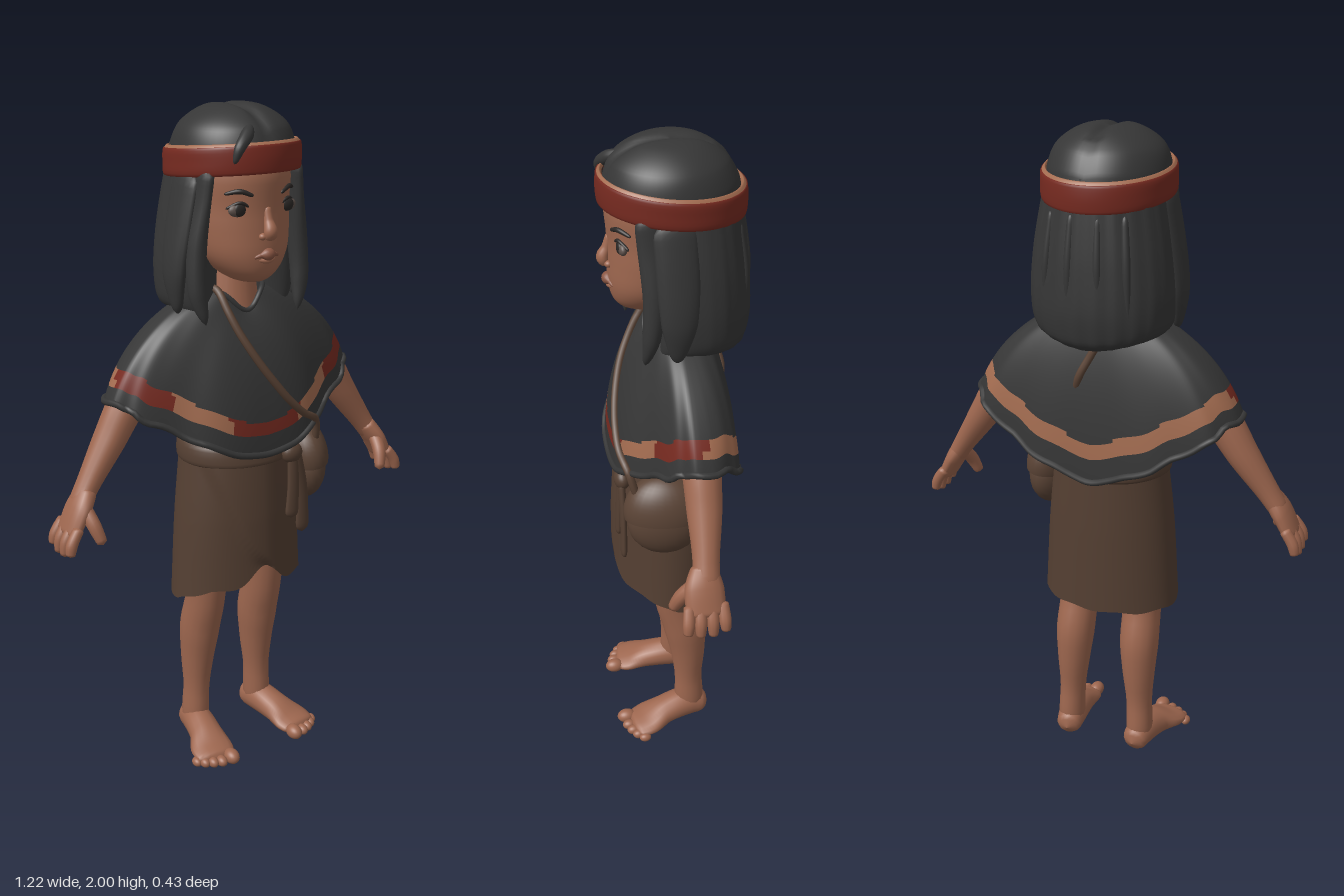
import * as THREE from 'three';

const mat = (name, color, double) => {
  const m = new THREE.MeshStandardMaterial({ color });
  m.name = name;
  if (double) m.side = THREE.DoubleSide;
  return m;
};
const V = (x, y, z) => new THREE.Vector3(x, y, z);
const spow = (v, p) => Math.sign(v) * Math.abs(v) ** p;

export function createModel() {
  const root = new THREE.Group();
  const skin = mat('skin', 0x9e674f), lipTone = mat('lip', 0x8a5643);
  const hairMat = mat('hair', 0x363636, true), cloth = mat('dark cloth', 0x363636, true);
  const red = mat('red weave', 0x762a20, true), tan = mat('tan weave', 0xa36c50, true);
  const brown = mat('brown skirt', 0x543f32, true), leather = mat('leather', 0x5a4335, true);
  const eyeWhite = mat('eye', 0x5f524c), dark = mat('dark eye', 0x2b2725);

  const add = (name, geo, material, pos) => {
    const m = new THREE.Mesh(geo, material);
    m.name = name;
    if (pos) m.position.set(...pos);
    root.add(m);
    return m;
  };

  // Closed grid surface: fn(angle, s) gives a point, pick(angle, s) a material index
  const grid = (fn, nu, nv, pick = () => 0) => {
    const pos = [], buckets = [];
    for (let j = 0; j <= nv; j++)
      for (let i = 0; i < nu; i++) pos.push(...fn(i / nu * Math.PI * 2, j / nv).toArray());
    for (let j = 0; j < nv; j++)
      for (let i = 0; i < nu; i++) {
        const k = (i + 1) % nu, a = j * nu + i, b = j * nu + k, c = b + nu, d = a + nu;
        const m = pick((i + 0.5) / nu * Math.PI * 2, (j + 0.5) / nv);
        (buckets[m] ??= []).push(a, b, c, a, c, d);
      }
    const g = new THREE.BufferGeometry();
    g.setAttribute('position', new THREE.Float32BufferAttribute(pos, 3));
    g.setIndex(buckets.flat());
    let start = 0;
    buckets.forEach((b, m) => { g.addGroup(start, b.length, m); start += b.length; });
    if (buckets.length === 1) g.clearGroups();
    g.computeVertexNormals();
    return g;
  };

  // Stacked rings from top to bottom: rows of [y, half width, front z, back z]
  const loft = (rows, warp, nu = 48, nv = 32) => {
    const c1 = new THREE.CatmullRomCurve3(rows.map(r => V(r[0], r[1], 0)));
    const c2 = new THREE.CatmullRomCurve3(rows.map(r => V(r[2], r[3], 0)));
    return grid((a, s) => {
      const p = c1.getPoint(s), q = c2.getPoint(s);
      const o = V(Math.max(0, p.y) * Math.cos(a), p.x, (q.x + q.y) / 2 + (q.x - q.y) / 2 * Math.sin(a));
      if (warp) warp(o, a, s);
      return o;
    }, nu, nv);
  };

  // Tapered limb with rounded ends: points of [x, y, z, ra, rb], rb lies along ref
  const limb = (pts, ref = V(0, 0, 1), nu = 16, nv = 28) => {
    const path = new THREE.CatmullRomCurve3(pts.map(p => V(p[0], p[1], p[2])));
    const rad = new THREE.CatmullRomCurve3(pts.map(p => V(p[3], p[4] ?? p[3], 0)));
    return grid((a, s) => {
      const t = path.getTangent(s), r = rad.getPoint(s);
      const B = ref.clone().addScaledVector(t, -ref.dot(t)).normalize();
      const A = B.clone().cross(t);
      const e = Math.sqrt(Math.max(0, 1 - Math.max(0, (Math.abs(2 * s - 1) - 0.8) / 0.2) ** 2));
      return path.getPoint(s).addScaledVector(A, e * r.x * Math.cos(a)).addScaledVector(B, e * r.y * Math.sin(a));
    }, nu, nv);
  };
  const ball = (name, material, pos, scale) =>
    add(name, new THREE.SphereGeometry(1, 24, 16).scale(...scale), material, pos);
  const cord = (name, pts, r, material, closed) =>
    add(name, new THREE.TubeGeometry(new THREE.CatmullRomCurve3(pts, closed), 120, r, 8, closed), material);
  const UP = V(0, 1, 0);

  // Head and neck
  add('head', loft([[1.96, 0, 0.02, 0.02], [1.92, 0.12, 0.14, -0.13], [1.82, 0.15, 0.19, -0.16],
    [1.74, 0.15, 0.184, -0.16], [1.67, 0.147, 0.184, -0.14], [1.6, 0.127, 0.184, -0.08],
    [1.55, 0.088, 0.173, -0.03], [1.522, 0.045, 0.145, 0.02], [1.512, 0, 0.08, 0.08]]), skin);
  add('neck', new THREE.CylinderGeometry(0.06, 0.085, 0.18, 24), skin, [0, 1.5, 0]);
  add('nose', limb([[0, 1.74, 0.173, 0.012], [0, 1.7, 0.184, 0.014], [0, 1.67, 0.196, 0.02, 0.018], [0, 1.648, 0.186, 0.016, 0.012]]), skin);
  add('upperLip', limb([[-0.042, 1.597, 0.172, 0.004], [-0.02, 1.605, 0.182, 0.007], [0.02, 1.605, 0.182, 0.007], [0.042, 1.597, 0.172, 0.004]]), lipTone);
  add('lowerLip', limb([[-0.03, 1.591, 0.173, 0.005], [0, 1.588, 0.182, 0.008], [0.03, 1.591, 0.173, 0.005]]), skin);

  for (const s of [1, -1]) {
    const side = s > 0 ? 'left' : 'right';
    const mir = pts => pts.map(([x, ...r]) => [x * s, ...r]);
    // Face details
    ball(side + 'Nostril', skin, [s * 0.018, 1.657, 0.183], [0.012, 0.01, 0.012]);
    ball(side + 'Eye', eyeWhite, [s * 0.08, 1.732, 0.155], [0.032, 0.019, 0.014]);
    ball(side + 'Iris', dark, [s * 0.08, 1.733, 0.162], [0.02, 0.018, 0.009]);
    add(side + 'EyeLid', limb(mir([[0.048, 1.737, 0.168, 0.004], [0.08, 1.752, 0.164, 0.005], [0.113, 1.736, 0.142, 0.004]])), dark);
    add(side + 'Brow', limb(mir([[0.045, 1.77, 0.178, 0.005], [0.08, 1.783, 0.164, 0.007], [0.115, 1.775, 0.136, 0.004]])), dark);

    // Front locks of hair, emerging under the headband
    add(side + 'FrontLock', limb(mir([[0.145, 1.85, 0.095, 0.02, 0.04], [0.155, 1.76, 0.09, 0.02, 0.038],
      [0.172, 1.62, 0.086, 0.028, 0.032], [0.175, 1.5, 0.096, 0.027, 0.025], [0.158, 1.41, 0.112, 0.009]])), hairMat);
    add(side + 'SideLock', limb(mir([[0.16, 1.84, 0.03, 0.02, 0.06], [0.19, 1.68, 0.025, 0.024, 0.06],
      [0.207, 1.55, 0.025, 0.024, 0.05], [0.2, 1.43, 0.03, 0.012, 0.015]])), hairMat);

    // Arm and hand
    add(side + 'Arm', limb(mir([[0.22, 1.33, -0.01, 0.06], [0.35, 1.19, -0.005, 0.056, 0.056], [0.42, 1.085, 0, 0.047, 0.05],
      [0.5, 0.97, 0.012, 0.033, 0.038], [0.54, 0.91, 0.02, 0.028, 0.04]])), skin);
    add(side + 'Palm', limb(mir([[0.5, 0.97, 0.018, 0.028, 0.034], [0.54, 0.91, 0.025, 0.028, 0.056], [0.577, 0.84, 0.025, 0.021, 0.056]])), skin);
    for (let i = 0; i < 4; i++) {
      const z = -0.022 + i * 0.031, tip = [0.8, 0.786, 0.788, 0.8][i];
      add(side + 'Finger', limb(mir([[0.558, 0.88, z, 0.016], [0.588, 0.835, z * 1.1, 0.017], [0.597, tip, z * 1.15, 0.013]]), V(0, 0, 1), 10, 14), skin);
    }
    add(side + 'Thumb', limb(mir([[0.53, 0.925, 0.045, 0.022], [0.52, 0.88, 0.085, 0.021], [0.505, 0.825, 0.108, 0.015]]), V(0, 0, 1), 10, 14), skin);

    // Leg, foot and toes
    add(side + 'Leg', limb(mir([[0.1, 0.85, 0.02, 0.08], [0.105, 0.66, 0.025, 0.07, 0.075], [0.107, 0.51, 0.016, 0.06, 0.066],
      [0.11, 0.4, -0.012, 0.061, 0.068], [0.113, 0.29, -0.024, 0.052, 0.057], [0.117, 0.17, -0.026, 0.041, 0.045],
      [0.12, 0.09, -0.028, 0.042, 0.048], [0.12, 0.025, -0.03, 0.04, 0.045]])), skin);
    add(side + 'Foot', limb(mir([[0.115, 0.04, -0.088, 0.038, 0.036], [0.123, 0.055, -0.02, 0.046, 0.05],
      [0.138, 0.045, 0.06, 0.052, 0.042], [0.155, 0.028, 0.125, 0.068, 0.026], [0.162, 0.02, 0.175, 0.058, 0.018]]), UP), skin);
    for (let i = 0; i < 5; i++) {
      const r = i ? 0.0175 - i * 0.0008 : 0.023, x = [0.122, 0.157, 0.182, 0.204, 0.222][i], z = [0.185, 0.182, 0.172, 0.158, 0.14][i];
      ball(side + 'Toe', skin, [s * x, r, z], [r, r, r * 1.35]);
    }
  }

  // Hair cap with a centre parting, and the long hair behind
  const part = p => { p.y -= 0.014 * Math.exp(-((p.x / 0.018) ** 2)) * (p.z > -0.1 ? 1 : 0.4); };
  add('hairCap', loft([[2.005, 0, 0.01, 0.01], [1.99, 0.085, 0.1, -0.08], [1.945, 0.15, 0.168, -0.145],
    [1.89, 0.172, 0.19, -0.175], [1.845, 0.174, 0.193, -0.184]], part, 64, 28), hairMat);
  add('longHair', loft([[1.88, 0.16, 0.12, -0.175], [1.8, 0.178, 0.12, -0.188], [1.65, 0.203, 0.12, -0.205],
    [1.52, 0.21, 0.12, -0.212], [1.43, 0.195, 0.11, -0.2], [1.4, 0.15, 0.08, -0.17], [1.41, 0, -0.08, -0.08]], (p, a, s) => {
    const c = Math.sin(a);
    if (c > 0) p.z = -0.035 + 0.1 * Math.sin(2 * a) * Math.sign(Math.cos(a));
    else p.z = -0.035 + (p.z + 0.035) * Math.min(1, Math.abs(c) ** -0.15) + 0.002 * Math.sin(a * 22);
    p.y += 0.05 * s ** 3 * Math.cos(a) ** 2;
  }, 96, 32), hairMat);
  for (const [x, y] of [[-0.12, 1.48], [-0.045, 1.52], [0.04, 1.5], [0.115, 1.53]]) {
    const z = -0.2 * Math.sqrt(1 - (x / 0.23) ** 2);
    add('backLock', limb([[x * 0.9, 1.79, z + 0.018, 0.01], [x, 1.65, z + 0.001, 0.012], [x * 1.05, y, z + 0.002, 0.006]]), hairMat);
  }
  add('foreheadLock', limb([[-0.03, 1.95, 0.135, 0.012], [-0.06, 1.93, 0.165, 0.018], [-0.095, 1.9, 0.183, 0.015], [-0.11, 1.86, 0.18, 0.006]]), hairMat);

  // Tilted headband with a tan upper lining
  const tilt = p => { p.y += 1.85 + p.z * 0.1; };
  add('headband', loft([[0.038, 0.177, 0.196, -0.186], [0.036, 0.187, 0.207, -0.198], [0, 0.19, 0.21, -0.201],
    [-0.038, 0.187, 0.207, -0.198], [-0.04, 0.172, 0.188, -0.182]], tilt, 64, 16), red);
  add('headbandLining', loft([[0.036, 0.172, 0.19, -0.18], [0.045, 0.177, 0.196, -0.186], [0.037, 0.185, 0.204, -0.195]], tilt, 64, 6), tan);

  // Poncho: from the neck opening to a hem that is raised over the arms
  const poncho = (a, v) => {
    const c = Math.cos(a), s = Math.sin(a), hx = 0.405 * spow(c, 0.8);
    const hz = s > 0 ? 0.1 * s ** 0.6 + 0.1 * s ** 5 : -0.155 * Math.abs(s) ** 0.6;
    const hy = (s > 0 ? 1.015 : 0.99) + (s > 0 ? 0.185 : 0.21) * (Math.abs(hx) / 0.405) ** 1.5 + 0.004 * Math.sin(a * 17);
    const arc = v * Math.PI / 2, d = 0.6 * (1 - Math.cos(arc)) + 0.4 * v;
    const f = 0.6 * Math.sin(arc) + 0.4 * v, fz = 0.85 * Math.sin(arc) + 0.15 * v;
    const neckY = 1.485 - (s > 0 ? 0.06 * s ** 6 : 0), fold = 1 + 0.02 * v * v * Math.cos(a * 10);
    return V((0.095 * c * (1 - f) + hx * f) * fold, neckY * (1 - d) + hy * d, ((0.08 * s + 0.002) * (1 - fz) + hz * fz) * fold);
  };
  add('poncho', grid(poncho, 144, 56, (a, v) => {
    if (v < 0.82 - 0.05 * Math.abs(Math.cos(a)) || v > 0.895) return 0;
    const p = poncho(a, v);
    return (p.z > 0 && Math.abs(p.x) < 0.12) || (p.z > -0.015 && Math.abs(p.x) > 0.265) ? 2 : 1;
  }), [cloth, tan, red]);
  const ring = (v, n = 64) => Array.from({ length: n }, (_, i) => poncho(i / n * Math.PI * 2, v));
  cord('ponchoHem', ring(1), 0.01, cloth, true);
  cord('ponchoCollar', ring(0, 32), 0.008, cloth, true);
  add('torso', loft([[1.42, 0, 0, 0], [1.39, 0.1, 0.06, -0.06], [1.25, 0.15, 0.09, -0.1], [1.03, 0.165, 0.14, -0.12]]), cloth);

  // Wrapped skirt with an overlapping front panel
  add('skirt', loft([[1.1, 0.165, 0.145, -0.12], [1, 0.177, 0.165, -0.123], [0.8, 0.199, 0.178, -0.128], [0.54, 0.216, 0.182, -0.13]], (p, a, s) => {
    if (p.z > 0.03) {
      const edge = -0.19 + 0.2 * s * s, lap = THREE.MathUtils.smoothstep(p.x, edge, edge + 0.014);
      p.z += 0.016 * lap * Math.max(0, 1 - Math.max(0, p.x) / 0.2);
      p.y += s ** 5 * (0.045 * Math.min(1, (p.z - 0.03) / 0.1) + 0.065 * Math.exp(-((p.x / 0.06) ** 2)));
    }
    p.y += 0.003 * s * Math.sin(a * 9);
  }, 120, 36), brown);

  // Sash with knot and tails
  add('sash', loft([[1.045, 0.172, 0.16, -0.124], [1.035, 0.182, 0.178, -0.13], [0.985, 0.186, 0.186, -0.132], [0.975, 0.176, 0.17, -0.126]], null, 48, 10), brown);
  ball('sashKnot', brown, [0.1, 0.995, 0.175], [0.035, 0.032, 0.025]);
  add('sashTail', limb([[0.1, 1, 0.18, 0.018, 0.012], [0.1, 0.9, 0.186, 0.02, 0.01], [0.092, 0.79, 0.19, 0.024, 0.01]]), brown);
  add('sashTail', limb([[0.11, 1, 0.18, 0.018, 0.012], [0.135, 0.88, 0.18, 0.02, 0.01], [0.14, 0.73, 0.182, 0.024, 0.01]]), brown);

  // Shoulder bag with a flap
  const bag = ball('bag', leather, [0.212, 0.905, 0.07], [0.066, 0.108, 0.11]);
  bag.rotation.y = -0.15;
  const flap = add('bagFlap', new THREE.SphereGeometry(1, 28, 14, 0, Math.PI * 2, 0, Math.PI * 0.56).scale(0.075, 0.115, 0.12), leather, [0.21, 0.945, 0.07]);
  flap.rotation.set(0, -0.15, 0.12);

  // Strap laid over the poncho: finds the poncho point with a given x in front or behind
  const onPoncho = (x, v, front, lift) => {
    let lo = 0, hi = Math.PI;
    for (let i = 0; i < 24; i++) {
      const mid = (lo + hi) / 2;
      if (poncho(front * mid, v).x > x) lo = mid; else hi = mid;
    }
    return poncho(front * lo, v).add(V(0, lift * 0.5, lift * front));
  };
  const strap = [];
  for (let i = 0; i <= 8; i++) strap.push(onPoncho(-0.08 + 0.27 * (i / 8) ** 1.8, i / 8, 1, 0.006));
  strap.push(V(0.21, 0.97, 0.13), V(0.23, 0.96, 0.07), V(0.2, 1, -0.03));
  for (let i = 6; i >= 0; i--) strap.push(onPoncho(-0.075 + 0.17 * i / 6, i / 8, -1, i > 4 ? -0.03 : 0.004));
  strap.push(V(-0.085, 1.49, 0));
  cord('strap', strap, 0.0115, leather, true);

  return root;
}
